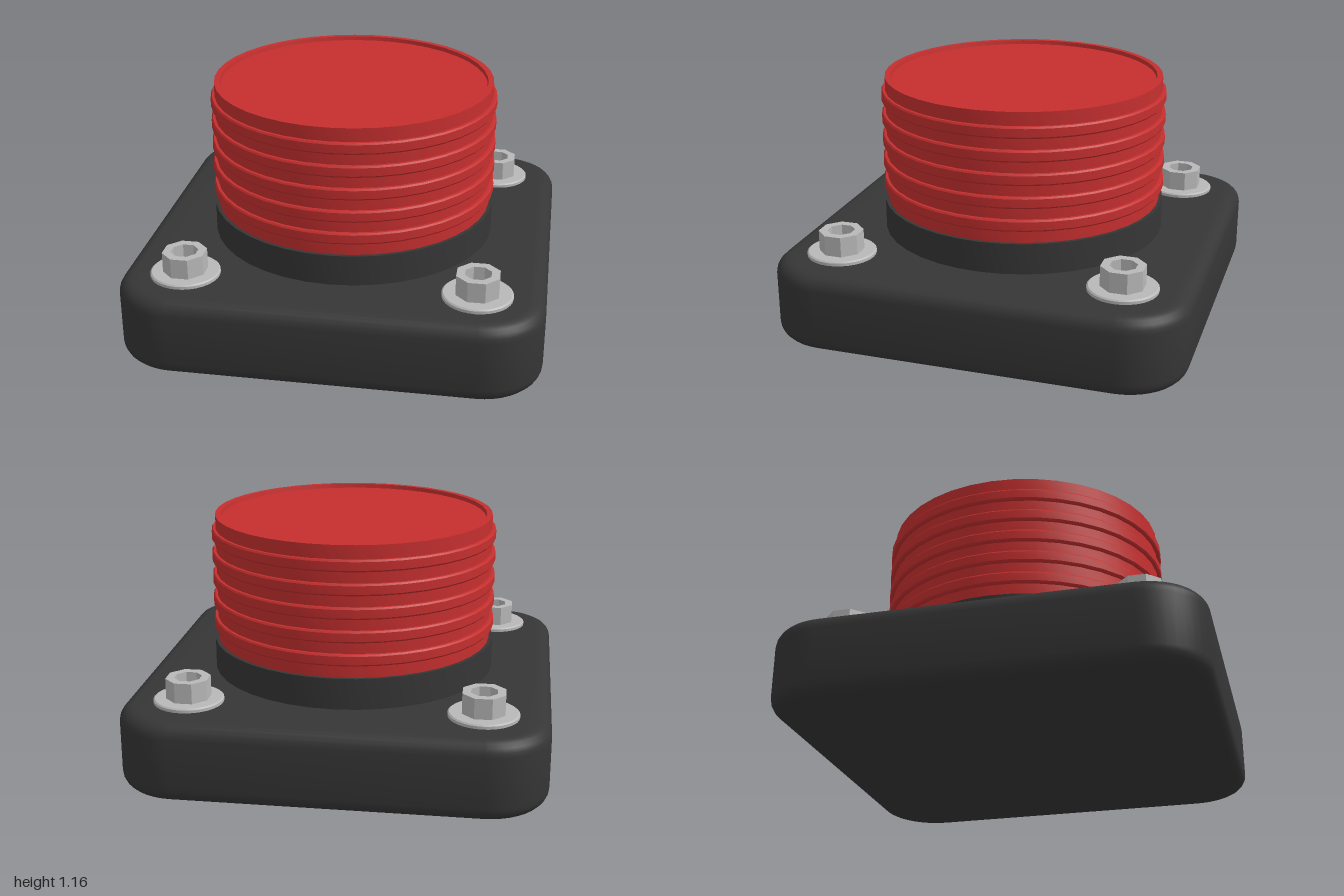
import * as THREE from 'three';
import { toCreasedNormals } from 'three/addons/utils/BufferGeometryUtils.js';

const material = (name, color) => {
  const m = new THREE.MeshStandardMaterial({ color });
  m.name = name;
  return m;
};

export function createModel() {
  const black = material('black plastic', 0x363636);
  const red = material('red plastic', 0xc62f2f);
  const steel = material('steel', 0xb8b8b8);
  const model = new THREE.Group();
  model.name = 'flangedCap';

  const add = (parent, name, geometry, mat) => {
    const mesh = new THREE.Mesh(geometry, mat);
    mesh.name = name;
    parent.add(mesh);
    return mesh;
  };
  // Lathe a list of [radius, y] pairs, running from bottom to top
  const lathe = (points, sides, crease = 0.6) => toCreasedNormals(
    new THREE.LatheGeometry(points.map(([r, y]) => new THREE.Vector2(r, y)), sides), crease);

  // Base plate: rounded square with rounded edges
  const bevel = 0.07, h = 1 - bevel, r = 0.22;
  const outline = new THREE.Shape();
  outline.absarc(h - r, h - r, r, 0, Math.PI / 2);
  outline.absarc(r - h, h - r, r, Math.PI / 2, Math.PI);
  outline.absarc(r - h, r - h, r, Math.PI, Math.PI * 1.5);
  outline.absarc(h - r, r - h, r, Math.PI * 1.5, Math.PI * 2);
  const plate = new THREE.ExtrudeGeometry(outline, {
    depth: 0.385 - 2 * bevel, bevelThickness: bevel, bevelSize: bevel,
    bevelSegments: 5, curveSegments: 5,
  });
  plate.rotateX(-Math.PI / 2).translate(0, bevel, 0);
  add(model, 'basePlate', toCreasedNormals(plate, 0.6), black);

  // Round collar on the plate
  add(model, 'collar', lathe([[0.7, 0.37], [0.7, 0.535], [0, 0.535]], 40), black);

  // Ribbed cap with a shallow recess in its top
  const profile = [[0.683, 0.53]];
  for (let i = 0; i < 5; i++) {
    const y = 0.623 + i * 0.111;
    profile.push([0.683, y - 0.028], [0.696, y - 0.028], [0.702, y - 0.02],
      [0.702, y + 0.02], [0.696, y + 0.028], [0.683, y + 0.028]);
  }
  profile.push([0.683, 1.16], [0.655, 1.16], [0.652, 1.14], [0, 1.14]);
  add(model, 'ribbedCap', lathe(profile, 40), red);

  // Corner bolts: washer and eight-sided head with a socket
  const flat = 1 / Math.cos(Math.PI / 8);
  for (const x of [-0.69, 0.685]) {
    for (const z of [-0.68, 0.698]) {
      const bolt = new THREE.Group();
      bolt.name = 'cornerBolt';
      bolt.position.set(x, 0.385, z);
      add(bolt, 'washer', lathe([[0.165, -0.01], [0.165, 0.014], [0.158, 0.02], [0, 0.02]], 32), steel);
      const head = add(bolt, 'boltHead', lathe([[0.098 * flat, 0.015], [0.098 * flat, 0.118],
        [0.06 * flat, 0.118], [0.06 * flat, 0.05], [0, 0.05]], 8, 0.3), steel);
      head.rotation.y = Math.PI / 8;
      model.add(bolt);
    }
  }
  return model;
}
